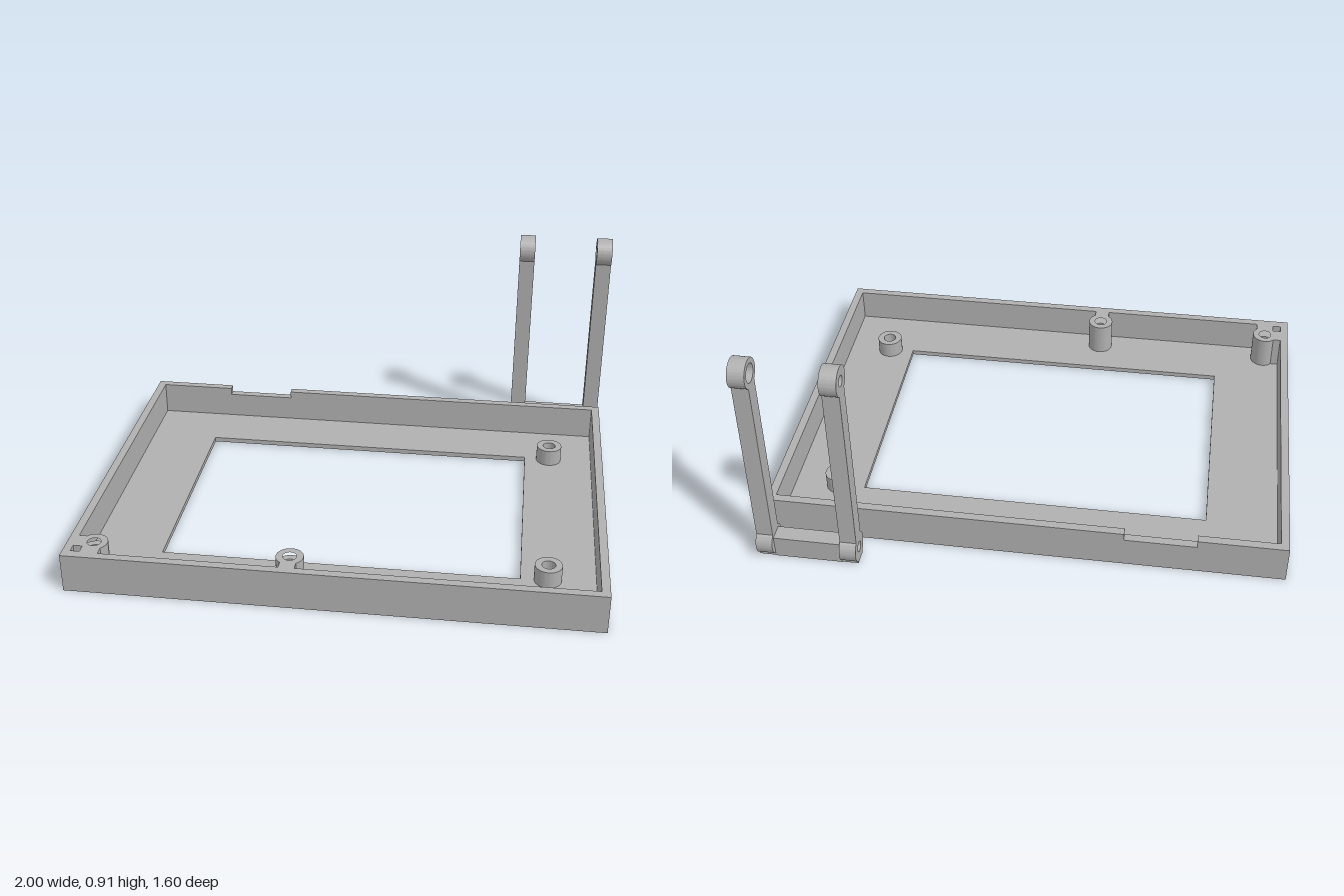
import * as THREE from 'three';
import { toCreasedNormals } from 'three/addons/utils/BufferGeometryUtils.js';

const grey = new THREE.MeshStandardMaterial({ color: 0xb0b0b0 });
grey.name = 'grey plastic';

const circle = (x, y, r) => new THREE.Path().absarc(x, y, r, 0, Math.PI * 2, true);
const polygon = (pts, Type = THREE.Path) => new Type(pts.map(p => new THREE.Vector2(...p)));
const rect = (x0, y0, x1, y1, Type) => polygon([[x0, y0], [x1, y0], [x1, y1], [x0, y1]], Type);

function extrude(name, shape, depth) {
  const geo = new THREE.ExtrudeGeometry(shape, { depth, bevelEnabled: false, curveSegments: 24 });
  const mesh = new THREE.Mesh(toCreasedNormals(geo, 0.45), grey);
  mesh.name = name;
  return mesh;
}

// Plan shapes use (x, -z) and rise from y0 to y1
function slab(name, shape, y0, y1) {
  const mesh = extrude(name, shape, y1 - y0);
  mesh.rotation.x = -Math.PI / 2;
  mesh.position.y = y0;
  return mesh;
}

// Side shapes use (-z, y) and run from x0 to x1
function sidePlate(name, shape, x0, x1) {
  const mesh = extrude(name, shape, x1 - x0);
  mesh.rotation.y = Math.PI / 2;
  mesh.position.x = x0;
  return mesh;
}

const BOSS_X = [-0.9, -0.16], BOSS_V = -0.695, BOSS_R = 0.052;

// Inner edge of the wall, running round the two screw bosses on the front wall
function traceInside(path) {
  const a = Math.asin(0.035 / BOSS_R);
  path.lineTo(-0.968, 0.603);
  path.lineTo(-0.968, -0.66);
  path.lineTo(-0.937, -0.66);
  path.absarc(BOSS_X[0], BOSS_V, BOSS_R, Math.PI * 0.75, -Math.PI / 2 + a, true);
  path.lineTo(BOSS_X[0] + 0.035, -0.768);
  path.lineTo(BOSS_X[1] - 0.03, -0.768);
  const b = Math.asin(0.03 / BOSS_R);
  path.absarc(BOSS_X[1], BOSS_V, BOSS_R, Math.PI * 1.5 - b, -Math.PI / 2 + b, true);
  path.lineTo(BOSS_X[1] + 0.03, -0.768);
  path.lineTo(0.968, -0.768);
  path.lineTo(0.968, 0.603);
}

const wallHoles = () => [
  ...BOSS_X.map(x => circle(x, BOSS_V, 0.026)),
  rect(-0.97, -0.763, -0.935, -0.728),
];

function buildTray() {
  const tray = new THREE.Group();
  tray.name = 'tray';
  const FLOOR = 0.02, NOTCH = 0.125, TOP = 0.155;

  // Floor with the large window
  const floor = rect(-1, -0.8, 1, 0.635, THREE.Shape);
  floor.holes.push(rect(-0.69, -0.535, 0.685, 0.38));
  tray.add(slab('floor', floor, 0, FLOOR));

  // Closed lower wall
  const lower = rect(-1, -0.8, 1, 0.635, THREE.Shape);
  const inside = new THREE.Path();
  inside.moveTo(0.968, 0.603);
  traceInside(inside);
  lower.holes.push(inside, ...wallHoles());
  tray.add(slab('lowerWall', lower, FLOOR, NOTCH));

  // Upper wall, open at the notch in the back
  const upper = polygon([[-0.385, 0.635], [1, 0.635], [1, -0.8], [-1, -0.8],
    [-1, 0.635], [-0.66, 0.635], [-0.66, 0.603]], THREE.Shape);
  traceInside(upper);
  upper.lineTo(-0.385, 0.603);
  upper.closePath();
  upper.holes.push(...wallHoles());
  tray.add(slab('upperWall', upper, NOTCH, TOP));

  // Short screw posts on the left side of the floor
  for (const z of [-0.375, 0.53]) {
    const post = new THREE.Shape().absarc(0.787, -z, BOSS_R, 0, Math.PI * 2, false);
    post.holes.push(circle(0.787, -z, 0.026));
    tray.add(slab('screwPost', post, FLOOR, 0.088));
  }
  return tray;
}

const LOW = [0.741, 0.06], HIGH = [0.725, 0.855], RING = 0.057, PIN = 0.021;

// Arm outline: footed lower eye, slim bar and upper eye
function armShape(upperHole) {
  const a = Math.asin(0.032 / RING), f = Math.asin(0.03 / RING), h = Math.PI / 2;
  const s = new THREE.Shape();
  s.moveTo(LOW[0] - 0.03, 0);
  s.lineTo(LOW[0] + 0.03, 0);
  s.absarc(...LOW, RING, -h + f, h - a, false);
  s.absarc(...HIGH, RING, -h + a, 3 * h - a, false);
  s.absarc(...LOW, RING, h + a, 3 * h - f, false);
  s.closePath();
  s.holes.push(circle(...LOW, PIN), circle(...HIGH, upperHole));
  return s;
}

function buildBracket() {
  const bracket = new THREE.Group();
  bracket.name = 'bracket';
  // Each arm has a wider recess on its inner face
  bracket.add(sidePlate('rightArmOuter', armShape(PIN), 0.612, 0.65));
  bracket.add(sidePlate('rightArmInner', armShape(0.036), 0.65, 0.676));
  bracket.add(sidePlate('leftArmInner', armShape(0.036), 0.936, 0.962));
  bracket.add(sidePlate('leftArmOuter', armShape(PIN), 0.962, 1));
  // Crossbar with the pin bore along it
  const bar = rect(0.709, 0, 0.773, 0.092, THREE.Shape);
  bar.holes.push(circle(...LOW, PIN));
  bracket.add(sidePlate('crossbar', bar, 0.676, 0.936));
  return bracket;
}

export function createModel() {
  const model = new THREE.Group();
  model.name = 'displayFrame';
  model.add(buildTray(), buildBracket());
  return model;
}
